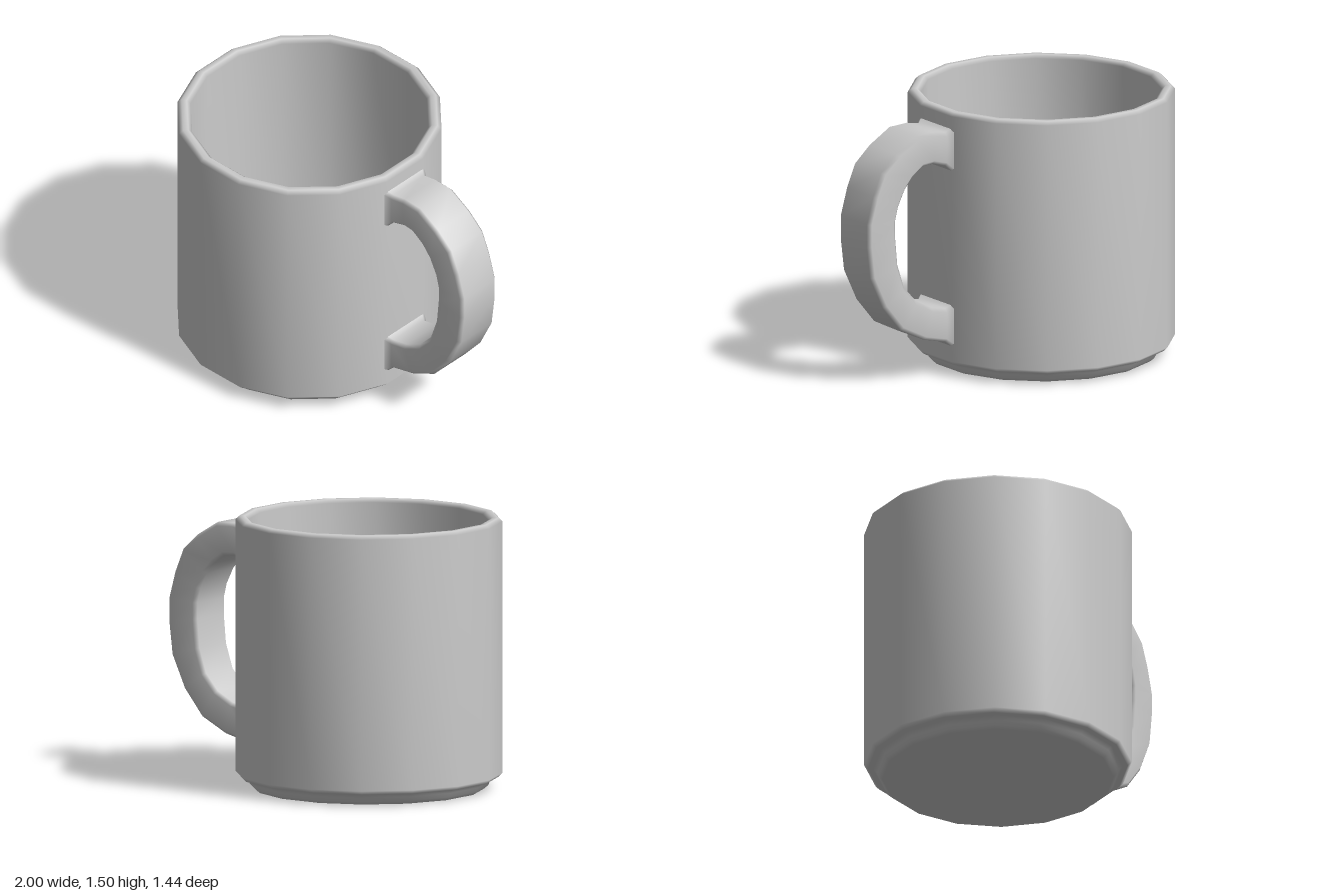
import * as THREE from 'three';
import { mergeVertices } from 'three/addons/utils/BufferGeometryUtils.js';

const SIDES = 16;
const CUP_X = -0.28;
const material = new THREE.MeshStandardMaterial({ color: 0xcccccc });

function addMesh(group, geometry, name) {
  const mesh = new THREE.Mesh(geometry, material);
  mesh.name = name;
  group.add(mesh);
  return mesh;
}

// Cup: one closed profile, given as distance to the flat sides and height
function cupGeometry() {
  const profile = [
    [0, 0], [0.62, 0], [0.643, 0.02], [0.65, 0.042], [0.672, 0.064], // foot
    [0.697, 0.066], [0.719, 0.088], [0.719, 1.48], [0.697, 1.5],     // outer wall
    [0.668, 1.5], [0.647, 1.48], [0.647, 0.125], [0.635, 0.11], [0, 0.11], // inside
  ];
  const toCorner = 1 / Math.cos(Math.PI / SIDES);
  const points = profile.map(([r, y]) => new THREE.Vector2(r * toCorner, y));
  const lathe = new THREE.LatheGeometry(points, SIDES, Math.PI / SIDES);
  // weld so that the large faces dominate the smooth normals
  lathe.deleteAttribute('uv');
  lathe.deleteAttribute('normal');
  const geometry = mergeVertices(lathe, 1e-4);
  geometry.computeVertexNormals();
  return geometry;
}

// Handle: chamfered rectangles swept between an outer and an inner curve
function handleGeometry() {
  const outer = [
    [0.42, 1.415], [0.437, 1.41], [0.465, 1.39], [0.55, 1.405], [0.665, 1.4],
    [0.8, 1.32], [0.9, 1.23], [0.955, 1.1], [0.997, 0.95], [0.997, 0.82],
    [0.975, 0.64], [0.89, 0.46], [0.77, 0.315], [0.61, 0.235], [0.465, 0.2],
    [0.437, 0.175], [0.42, 0.17],
  ];
  const inner = [
    [0.42, 1.16], [0.437, 1.17], [0.465, 1.2], [0.55, 1.225], [0.62, 1.22],
    [0.69, 1.17], [0.74, 1.11], [0.785, 1.02], [0.805, 0.94], [0.805, 0.85],
    [0.79, 0.69], [0.745, 0.555], [0.665, 0.465], [0.56, 0.41], [0.465, 0.39],
    [0.437, 0.41], [0.42, 0.415],
  ];
  const bevel = 0.02;
  const last = outer.length - 1;
  const positions = [];
  const index = [];

  outer.forEach((o, i) => {
    const O = new THREE.Vector2(...o);
    const I = new THREE.Vector2(...inner[i]);
    const step = O.clone().sub(I).setLength(bevel);
    const fromEnd = Math.min(i, last - i);
    const w = [0.165, 0.158][fromEnd] ?? 0.14; // flares where it meets the cup
    const O2 = O.clone().sub(step);
    const I2 = I.clone().add(step);
    const ring = [
      [O, w - bevel], [O, bevel - w], [O2, -w], [I2, -w],
      [I, bevel - w], [I, w - bevel], [I2, w], [O2, w],
    ];
    ring.forEach(([p, z]) => positions.push(p.x, p.y, z));
  });

  for (let i = 0; i < last; i++) {
    for (let k = 0; k < 8; k++) {
      const a = i * 8 + k;
      const c = i * 8 + ((k + 1) % 8);
      index.push(a, a + 8, c, c, a + 8, c + 8);
    }
  }

  const geometry = new THREE.BufferGeometry();
  geometry.setAttribute('position', new THREE.Float32BufferAttribute(positions, 3));
  geometry.setIndex(index);
  geometry.computeVertexNormals();
  return geometry;
}

export function createModel() {
  const mug = new THREE.Group();
  mug.name = 'mug';
  addMesh(mug, cupGeometry(), 'cup').position.x = CUP_X;
  addMesh(mug, handleGeometry(), 'handle');
  return mug;
}
